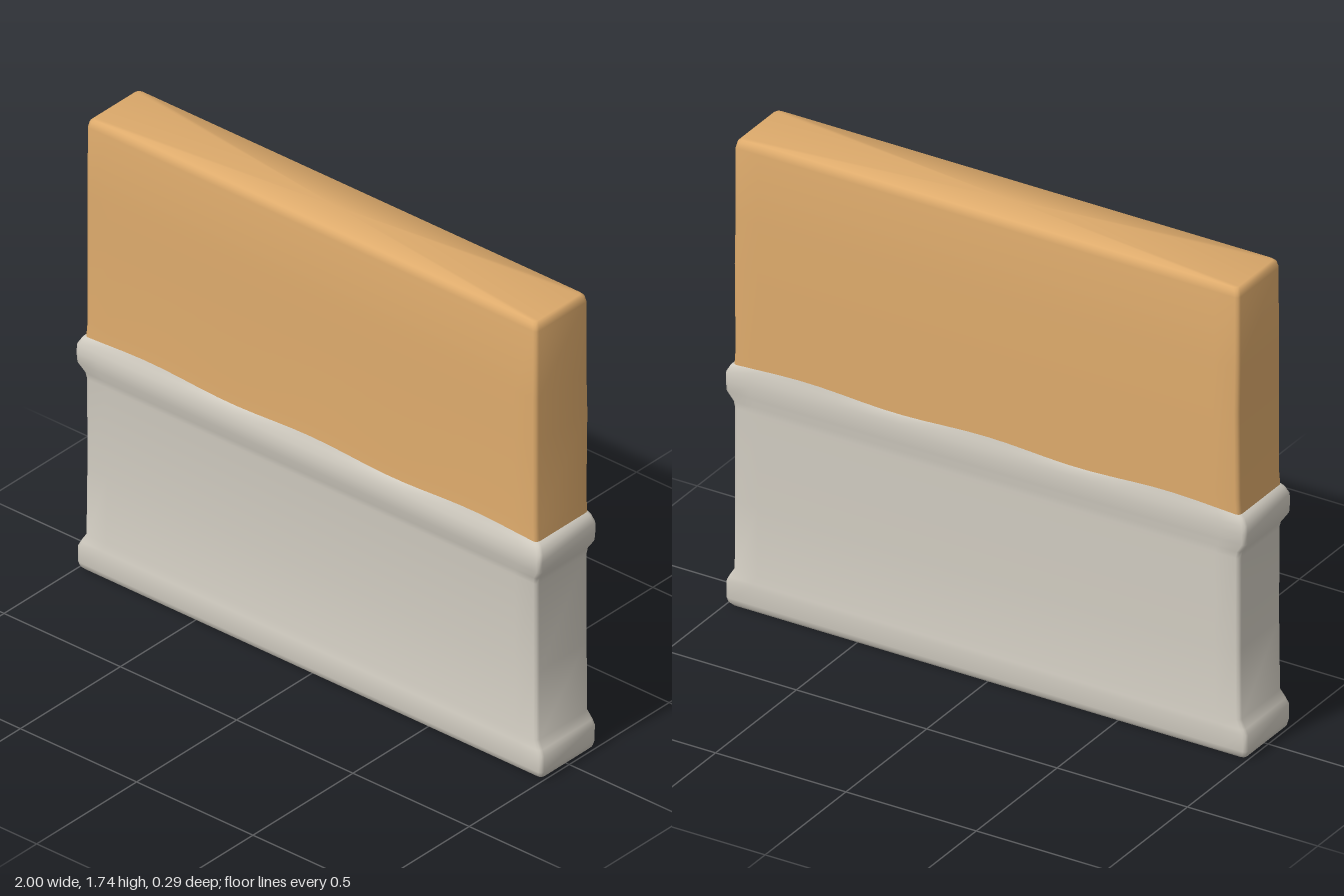
import * as THREE from 'three';
import { toCreasedNormals } from 'three/addons/utils/BufferGeometryUtils.js';

const STEPS = 24; // divisions along each long side

// Horizontal outline with small rounded corners, anticlockwise from above
function outline(hx, front, back, r) {
  const pts = [];
  const corner = (cx, cz, start) => {
    for (let i = 0; i <= 2; i++) {
      const a = start + (i * Math.PI) / 4;
      pts.push([cx + r * Math.cos(a), cz - r * Math.sin(a)]);
    }
  };
  const run = (x0, x1, z) => {
    for (let i = 1; i < STEPS; i++) pts.push([x0 + ((x1 - x0) * i) / STEPS, z]);
  };
  corner(hx - r, back + r, 0);
  run(hx - r, -hx + r, back);
  corner(-hx + r, back + r, Math.PI / 2);
  corner(-hx + r, front - r, Math.PI);
  run(-hx + r, hx - r, front);
  corner(hx - r, front - r, Math.PI * 1.5);
  return pts;
}

// Slightly uneven paint line between the two halves
const seam = (x) => 0.909 + 0.007 * Math.cos(9 * x);

// Skin the rows [y or function of x, half width, front z, back z] and cap one end
function loft(rows, capTop) {
  const rings = rows.map(([y, hx, f, b]) =>
    outline(hx, f, b, 0.014).map(([x, z]) => [x, typeof y === 'function' ? y(x) : y, z]));
  const n = rings[0].length;
  const pos = [];
  const tri = (...p) => p.forEach((v) => pos.push(...v));
  for (let k = 0; k < rings.length - 1; k++) {
    for (let i = 0; i < n; i++) {
      const j = (i + 1) % n;
      const a = rings[k][i], b = rings[k][j], c = rings[k + 1][j], d = rings[k + 1][i];
      tri(a, b, c);
      tri(a, c, d);
    }
  }
  const cap = capTop ? rings[rings.length - 1] : rings[0];
  const mid = [0, cap[0][1], 0];
  for (let i = 0; i < n; i++) {
    const j = (i + 1) % n;
    if (capTop) tri(mid, cap[i], cap[j]);
    else tri(mid, cap[j], cap[i]);
  }
  const geo = new THREE.BufferGeometry();
  geo.setAttribute('position', new THREE.Float32BufferAttribute(pos, 3));
  return toCreasedNormals(geo, Math.PI / 3.2);
}

export function createModel() {
  const cream = new THREE.MeshStandardMaterial({ color: 0xd2cdc2 });
  cream.name = 'cream panelling';
  const ochre = new THREE.MeshStandardMaterial({ color: 0xdeab6c });
  ochre.name = 'ochre plaster';

  const wall = new THREE.Group();
  wall.name = 'wallSection';

  // Lower half: skirting, flat panel and rail
  const lower = new THREE.Mesh(loft([
    [0, 0.985, 0.122, -0.122],
    [0.012, 0.996, 0.134, -0.132],
    [0.03, 1.0, 0.139, -0.136],
    [0.09, 1.0, 0.138, -0.137],
    [0.11, 0.99, 0.135, -0.136],
    [0.14, 0.972, 0.129, -0.131],
    [0.4, 0.97, 0.127, -0.131],
    [0.74, 0.97, 0.128, -0.131],
    [0.765, 0.975, 0.132, -0.132],
    [0.8, 0.998, 0.144, -0.138],
    [0.84, 1.0, 0.147, -0.141],
    [0.87, 0.999, 0.144, -0.14],
    [0.895, 0.985, 0.136, -0.136],
    [seam, 0.972, 0.13, -0.132],
  ], false), cream);
  lower.name = 'lowerPanelling';

  // Upper half: plain plaster with softened top edges
  const upper = new THREE.Mesh(loft([
    [seam, 0.972, 0.13, -0.132],
    [0.96, 0.968, 0.128, -0.132],
    [1.28, 0.968, 0.128, -0.137],
    [1.45, 0.968, 0.128, -0.132],
    [1.71, 0.968, 0.127, -0.132],
    [1.732, 0.963, 0.123, -0.128],
    [1.74, 0.953, 0.115, -0.12],
  ], true), ochre);
  upper.name = 'upperPlaster';

  wall.add(lower, upper);
  return wall;
}
